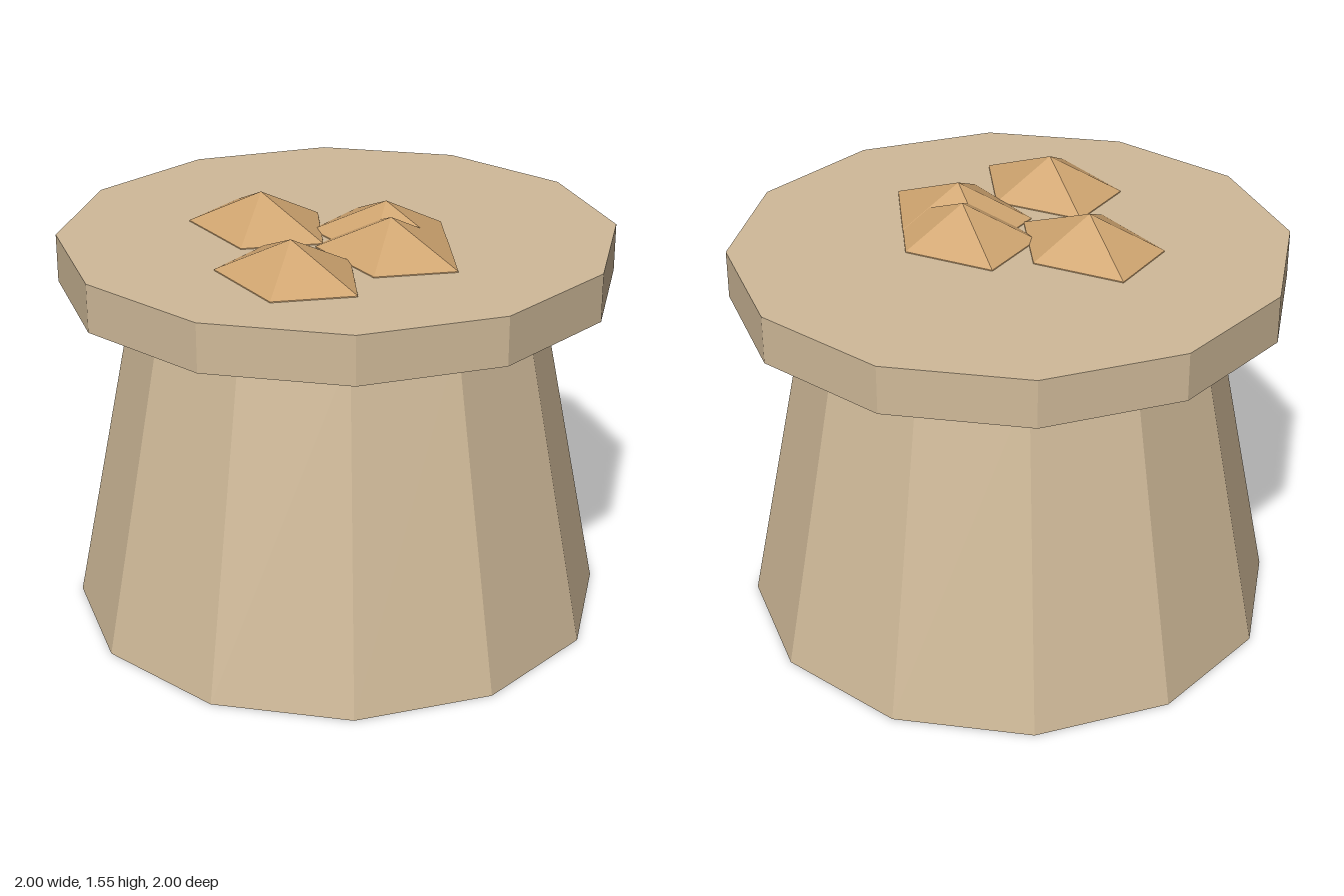
import * as THREE from 'three';

export function createModel() {
  const model = new THREE.Group();
  const bark = new THREE.MeshStandardMaterial({ color: 0xd0ba99, flatShading: true });
  const crumb = new THREE.MeshStandardMaterial({ color: 0xd0a570, flatShading: true });

  const add = (name, geometry, material, x, y, z) => {
    const mesh = new THREE.Mesh(geometry, material);
    mesh.name = name;
    mesh.position.set(x, y, z);
    model.add(mesh);
    return mesh;
  };

  // Tapered twelve-sided body and the wider slab on top
  const slabBottom = 1.253, slabTop = 1.427;
  add('body', new THREE.CylinderGeometry(0.727, 0.977, slabBottom, 12), bark, 0, slabBottom / 2, 0);
  add('topSlab', new THREE.CylinderGeometry(1, 1, slabTop - slabBottom, 12), bark,
    0, (slabTop + slabBottom) / 2, 0);

  // Lumps: flattened icosahedra with one corner straight up, sunk into the slab
  const goldenRatio = (1 + Math.sqrt(5)) / 2;
  const lump = new THREE.IcosahedronGeometry(1, 0);
  lump.rotateZ(-Math.atan(1 / goldenRatio));
  lump.scale(0.268, 0.222, 0.345);

  const spots = [[-0.203, -0.19], [-0.385, 0.3], [0.025, 0.295], [0.112, 0.138]];
  spots.forEach(([x, z], i) => add(`lump${i + 1}`, lump, crumb, x, 1.331, z));

  return model;
}
